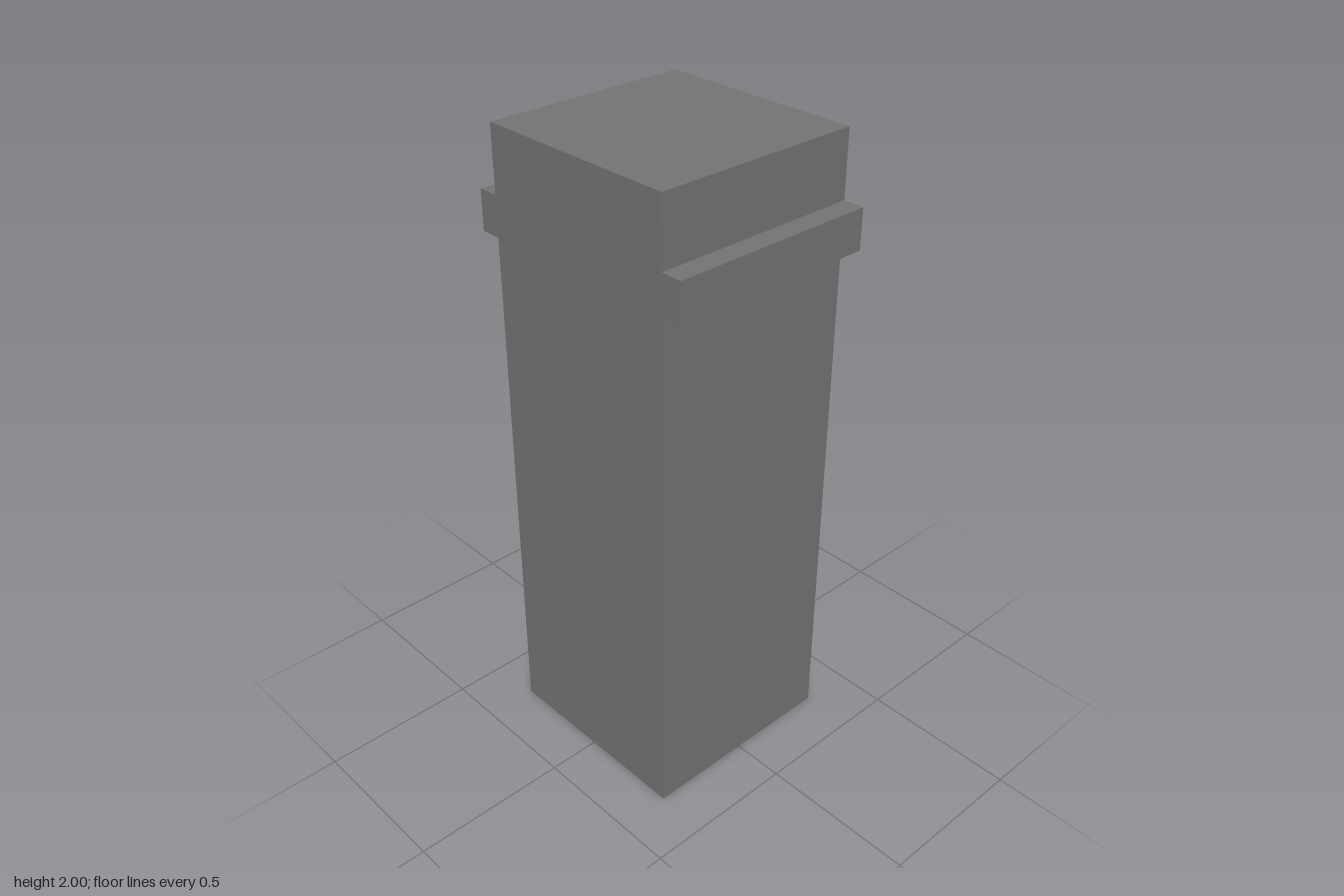
import * as THREE from 'three';

const HALF = 1 / 3;      // half width of the square shaft
const LEDGE = 0.4;       // reach of the ledges along z
const LEDGE_LOW = 1.67, LEDGE_HIGH = 1.795;
const FLOOR = 0.165;     // height of the recessed underside
const TOP = 2;
const COLOR = 0x747474;

export function createModel() {
  const model = new THREE.Group();
  model.name = 'pillar';

  // Shaft with front and back ledges: one side profile extruded along x
  const half = [[HALF, FLOOR], [HALF, LEDGE_LOW], [LEDGE, LEDGE_LOW],
    [LEDGE, LEDGE_HIGH], [HALF, LEDGE_HIGH], [HALF, TOP]];
  const mirrored = half.map(([z, y]) => [-z, y]).reverse();
  const profile = new THREE.Shape([...half, ...mirrored].map(([z, y]) => new THREE.Vector2(z, y)));
  const shaftGeometry = new THREE.ExtrudeGeometry(profile, { depth: 2 * HALF, bevelEnabled: false });
  shaftGeometry.translate(0, 0, -HALF).rotateY(Math.PI / 2);
  const shaft = new THREE.Mesh(shaftGeometry,
    new THREE.MeshStandardMaterial({ color: COLOR, flatShading: true }));
  shaft.name = 'shaftWithLedges';
  model.add(shaft);

  // Thin open skirt around the hollow base
  const radius = HALF * Math.SQRT2;
  const skirtGeometry = new THREE.CylinderGeometry(radius, radius, FLOOR, 4, 1, true);
  skirtGeometry.rotateY(Math.PI / 4).translate(0, FLOOR / 2, 0);
  const skirt = new THREE.Mesh(skirtGeometry,
    new THREE.MeshStandardMaterial({ color: COLOR, flatShading: true, side: THREE.DoubleSide }));
  skirt.name = 'baseSkirt';
  model.add(skirt);

  return model;
}
